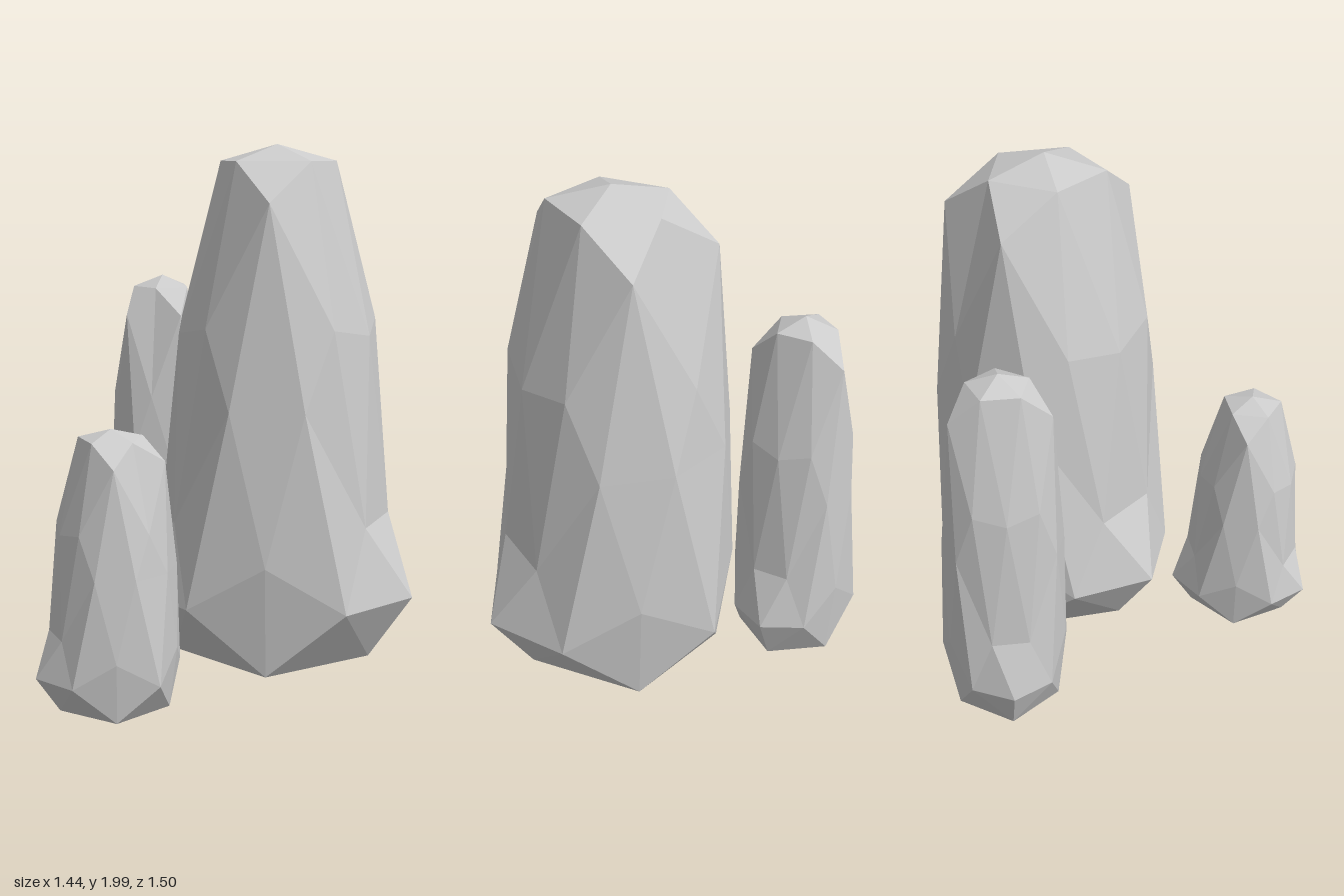
import * as THREE from 'three';

const material = new THREE.MeshStandardMaterial({ color: 0xcccccc, flatShading: true });

// Point on a ring: angle in degrees (from +x towards +z), radius, height
function at(deg, r, y) {
  const a = THREE.MathUtils.degToRad(deg);
  return new THREE.Vector3(r * Math.cos(a), y, r * Math.sin(a));
}

// Tall faceted boulder: a once-divided icosahedron, stretched and tapered,
// with two of its five lower corners slumped outwards and down
function rockGeometry() {
  const top = at(0, 0, 2), bottom = at(0, 0, 0.01);
  const T = [], U = [], N = [], E = [], L = [], M = [], B = [];
  for (let k = 0; k < 5; k++) {
    const a = 72 * k, b = a + 36;
    const slumped = k === 0 || k === 2;
    T.push(at(a, 0.225, 1.94));                       // cap ring
    N.push(at(b, 0.365, slumped ? 1.32 : 1.8));       // shoulder
    U.push(at(a, 0.385, 1.36));                       // upper corners
    for (const d of [18, 54]) E.push(at(a + d, 0.43, slumped ? 0.64 : 1.08)); // waist
    L.push(slumped ? at(b, 0.55, 0.36) : at(b, 0.44, 0.53)); // lower corners
    M.push(at(a, 0.487, 0.355));                      // foot
    B.push(at(b, 0.385, 0.11));                       // base ring
  }

  // One large triangle split into four through its edge points
  const points = [];
  const split = (a, b, c, ab, bc, ca) =>
    points.push(a, ab, ca, ab, b, bc, ca, bc, c, ab, bc, ca);

  for (let k = 0; k < 5; k++) {
    const n = (k + 1) % 5, p = (k + 4) % 5;
    split(top, U[n], U[k], T[n], N[k], T[k]);
    split(U[n], L[k], U[k], E[2 * k + 1], E[2 * k], N[k]);
    split(L[p], U[k], L[k], E[2 * p + 1], E[2 * k], M[k]);
    split(bottom, L[p], L[k], B[p], M[k], B[k]);
  }
  const geometry = new THREE.BufferGeometry().setFromPoints(points);
  geometry.computeVertexNormals();
  return geometry;
}

export function createModel() {
  const group = new THREE.Group();
  group.name = 'rockCluster';
  const geometry = rockGeometry();

  // name, position, turn in degrees, width scale, height scale
  const rocks = [
    ['largeRock', [0.225, 0, 0.1], 0, 1, 1],
    ['mediumRock', [-0.1, 0.003, -0.5], 185, 0.515, 0.739],
    ['smallRock', [-0.45, 0.035, 0.53], 131, 0.512, 0.512],
  ];
  for (const [name, position, turn, width, height] of rocks) {
    const rock = new THREE.Mesh(geometry, material);
    rock.name = name;
    rock.position.set(...position);
    rock.rotation.y = -THREE.MathUtils.degToRad(turn);
    rock.scale.set(width, height, width);
    group.add(rock);
  }
  return group;
}
